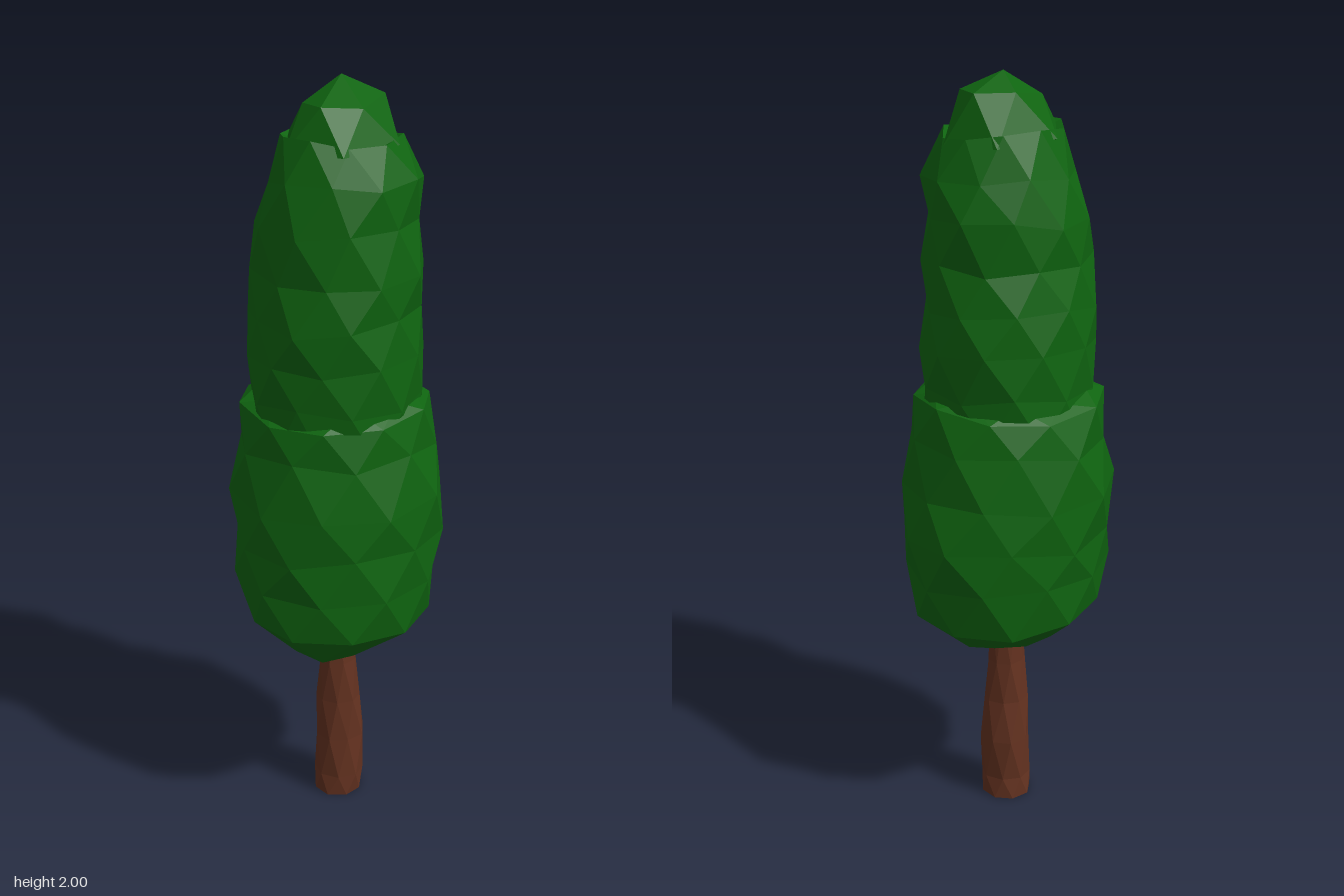
import * as THREE from 'three';

// Small seeded generator for the faceted irregularity
function seeded(seed) {
  let s = seed;
  return () => {
    s = (s * 16807) % 2147483647;
    return s / 2147483647;
  };
}

// Irregular low-poly column: rows are [y, xMin, xMax, zMin, zMax]; every other
// ring is turned half a step so the facets interlock. Poles close both ends.
function facetedColumn(rows, bottom, top, sides, jitter, lift, seed) {
  const rand = seeded(seed);
  const pos = [...bottom];
  const index = [];
  rows.forEach(([y, x0, x1, z0, z1], r) => {
    for (let i = 0; i < sides; i++) {
      const a = ((i + (r % 2) / 2) / sides) * Math.PI * 2;
      const k = 1.015 + (rand() - 0.5) * jitter;
      pos.push(
        (x0 + x1) / 2 + Math.cos(a) * k * (x1 - x0) / 2,
        y + (rand() - 0.5) * lift,
        (z0 + z1) / 2 + Math.sin(a) * k * (z1 - z0) / 2
      );
    }
  });
  const at = (r, i) => 1 + r * sides + (i % sides);
  const last = rows.length - 1;
  const tip = 1 + rows.length * sides;
  pos.push(...top);
  for (let i = 0; i < sides; i++) {
    index.push(0, at(0, i), at(0, i + 1));
    index.push(tip, at(last, i + 1), at(last, i));
    for (let r = 0; r < last; r++) {
      const a = at(r, i), b = at(r, i + 1), c = at(r + 1, i), d = at(r + 1, i + 1);
      if (r % 2) index.push(a, d, b, a, c, d);
      else index.push(a, c, b, b, c, d);
    }
  }
  const g = new THREE.BufferGeometry();
  g.setAttribute('position', new THREE.Float32BufferAttribute(pos, 3));
  g.setIndex(index);
  const flat = g.toNonIndexed();
  flat.computeVertexNormals();
  return flat;
}

export function createModel() {
  const tree = new THREE.Group();
  tree.name = 'tree';
  const leafGreen = new THREE.MeshStandardMaterial({ color: 0x0f6410, flatShading: true });
  leafGreen.name = 'leaf green';
  const barkBrown = new THREE.MeshStandardMaterial({ color: 0x643220, flatShading: true });
  barkBrown.name = 'bark brown';

  const add = (name, geometry, material) => {
    const mesh = new THREE.Mesh(geometry, material);
    mesh.name = name;
    tree.add(mesh);
  };

  // Trunk, slightly tapered, running up into the foliage
  add('trunk', facetedColumn([
    [0, -0.07, 0.065, -0.065, 0.07],
    [0.06, -0.068, 0.07, -0.063, 0.07],
    [0.18, -0.065, 0.067, -0.068, 0.065],
    [0.3, -0.06, 0.056, -0.056, 0.062],
    [0.42, -0.052, 0.046, -0.052, 0.058],
    [0.56, -0.045, 0.042, -0.048, 0.048]
  ], [0, 0, 0], [0, 0.57, 0], 8, 0.08, 0, 11), barkBrown);

  // Wide lower foliage with a shelf at its top
  add('lowerFoliage', facetedColumn([
    [0.505, -0.13, 0.12, -0.14, 0.19],
    [0.6, -0.24, 0.24, -0.26, 0.28],
    [0.72, -0.265, 0.255, -0.275, 0.29],
    [0.83, -0.265, 0.265, -0.295, 0.298],
    [0.95, -0.273, 0.268, -0.27, 0.29],
    [1.08, -0.258, 0.25, -0.255, 0.27],
    [1.18, -0.25, 0.24, -0.23, 0.26],
    [1.21, -0.19, 0.19, -0.18, 0.2]
  ], [0, 0.478, 0], [0, 1.22, 0], 10, 0.07, 0.03, 47), leafGreen);

  // Narrower upper foliage tapering to the crown
  add('upperFoliage', facetedColumn([
    [1.1, -0.21, 0.21, -0.21, 0.24],
    [1.22, -0.217, 0.217, -0.222, 0.25],
    [1.33, -0.218, 0.218, -0.228, 0.257],
    [1.43, -0.215, 0.215, -0.21, 0.257],
    [1.54, -0.2, 0.22, -0.205, 0.25],
    [1.65, -0.2, 0.2, -0.205, 0.24],
    [1.76, -0.165, 0.208, -0.195, 0.222],
    [1.86, -0.125, 0.155, -0.16, 0.19]
  ], [0, 1.05, 0], [0.01, 1.8, 0], 10, 0.07, 0.03, 83), leafGreen);

  // Crown with fewer, larger facets
  add('crown', facetedColumn([
    [1.84, -0.135, 0.165, -0.167, 0.197],
    [1.945, -0.07, 0.11, -0.115, 0.145]
  ], [0.01, 1.8, 0], [0.005, 2, 0], 6, 0.04, 0.02, 29), leafGreen);

  return tree;
}
